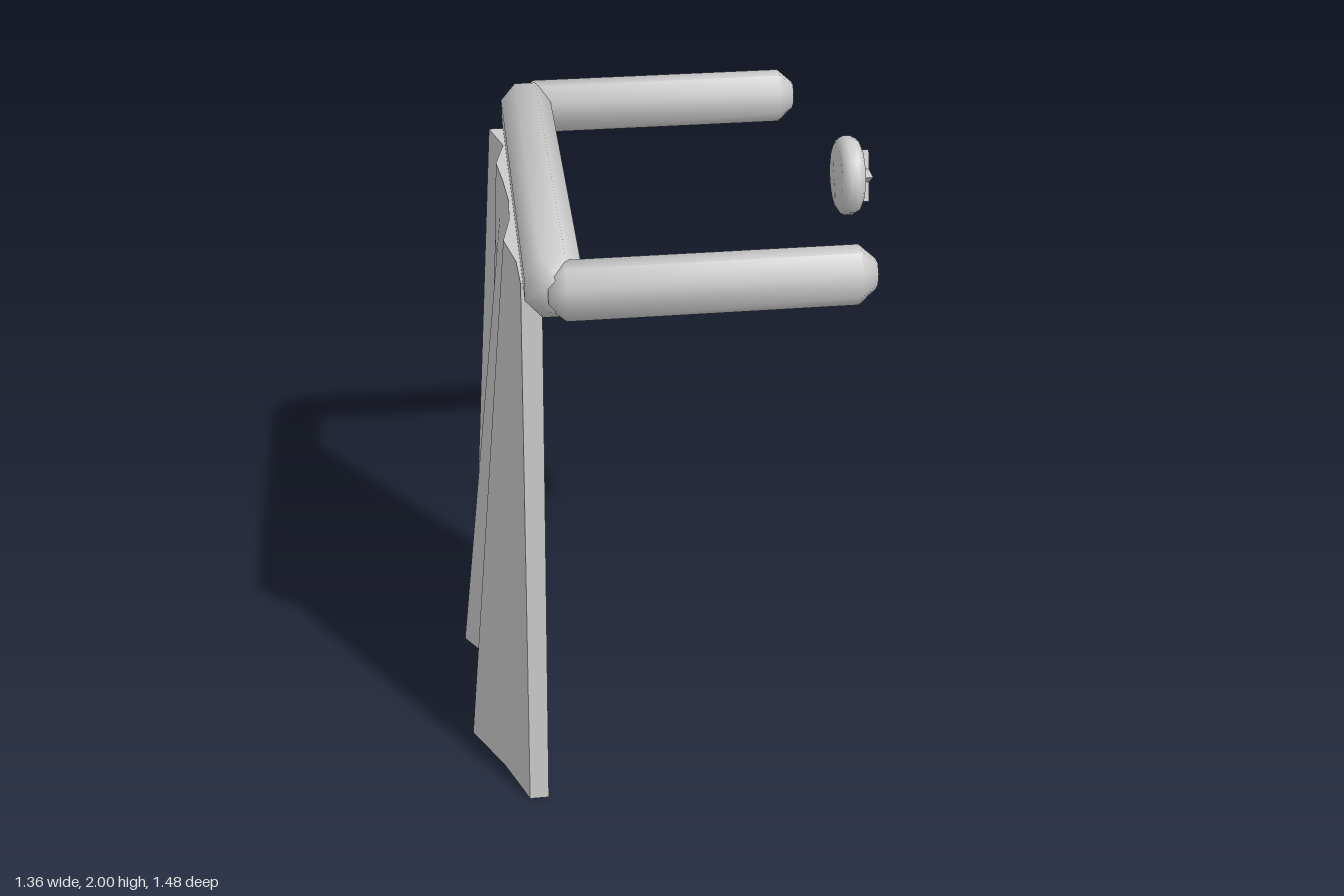
import * as THREE from 'three';
import { toCreasedNormals } from 'three/addons/utils/BufferGeometryUtils.js';

const material = new THREE.MeshStandardMaterial({ color: 0xcccccc });
const collarY = 1.877;

function makeMesh(name, geometry) {
  const mesh = new THREE.Mesh(geometry, material);
  mesh.name = name;
  return mesh;
}

function lathe(profile, sides) {
  const points = profile.map(([r, y]) => new THREE.Vector2(r, y));
  return new THREE.LatheGeometry(points, sides);
}

// Eight-sided bar along y with bevelled ends; width and height are across flats
function barGeometry(length, width, height, bevel) {
  const h = length / 2;
  const r = 0.5 / Math.cos(Math.PI / 8);
  const geometry = lathe([[0, -h], [r * 0.5, -h], [r, -h + bevel], [r, h - bevel], [r * 0.5, h], [0, h]], 8);
  geometry.rotateY(Math.PI / 8);
  geometry.scale(width, 1, height);
  return toCreasedNormals(geometry, 1.05);
}

// Pleated cloth: two skins of a ruled sheet closed around the rim
function cloakGeometry() {
  const topX = [-0.49, -0.45, -0.48, -0.465, -0.455, -0.46, -0.485, -0.455, -0.45];
  const hemX = [-0.62, -0.5, -0.58, -0.68, -0.56, -0.56, -0.67, -0.57, -0.495];
  const columns = topX.length - 1, rows = 14, topY = 1.85, thickness = 0.062;
  const positions = [], indices = [];
  const perSkin = (columns + 1) * (rows + 1);

  for (let skin = 0; skin < 2; skin++) {
    for (let j = 0; j <= rows; j++) {
      const t = j / rows;
      for (let i = 0; i <= columns; i++) {
        const x = THREE.MathUtils.lerp(hemX[i], topX[i], t) + skin * thickness;
        const halfWidth = THREE.MathUtils.lerp(0.7, 0.56, t);
        positions.push(x, topY * t, halfWidth * (2 * i / columns - 1));
      }
    }
  }

  const quad = (a, b, c, d) => indices.push(a, b, c, a, c, d);
  const at = (skin, i, j) => skin * perSkin + j * (columns + 1) + i;
  for (let j = 0; j < rows; j++) {
    for (let i = 0; i < columns; i++) {
      quad(at(0, i, j), at(0, i + 1, j), at(0, i + 1, j + 1), at(0, i, j + 1));
      quad(at(1, i + 1, j), at(1, i, j), at(1, i, j + 1), at(1, i + 1, j + 1));
    }
    // Side edges
    quad(at(1, 0, j), at(0, 0, j), at(0, 0, j + 1), at(1, 0, j + 1));
    quad(at(0, columns, j), at(1, columns, j), at(1, columns, j + 1), at(0, columns, j + 1));
  }
  // Hem and top edge
  for (let i = 0; i < columns; i++) {
    quad(at(0, i, 0), at(1, i, 0), at(1, i + 1, 0), at(0, i + 1, 0));
    quad(at(0, i, rows), at(0, i + 1, rows), at(1, i + 1, rows), at(1, i, rows));
  }

  const geometry = new THREE.BufferGeometry();
  geometry.setAttribute('position', new THREE.Float32BufferAttribute(positions, 3));
  geometry.setIndex(indices);
  return toCreasedNormals(geometry, 0.75);
}

function starGeometry(outer, inner, depth) {
  const shape = new THREE.Shape();
  for (let i = 0; i < 10; i++) {
    const r = i % 2 ? inner : outer;
    const a = Math.PI / 2 + i * Math.PI / 5;
    if (i === 0) shape.moveTo(r * Math.cos(a), r * Math.sin(a));
    else shape.lineTo(r * Math.cos(a), r * Math.sin(a));
  }
  shape.closePath();
  return new THREE.ExtrudeGeometry(shape, { depth, bevelEnabled: false }).rotateY(Math.PI / 2);
}

export function createModel() {
  const model = new THREE.Group();
  model.name = 'cloak';

  model.add(makeMesh('drape', cloakGeometry()));

  // Rolled collar: one bar across the back, one over each shoulder
  const back = makeMesh('backCollar', barGeometry(1.4, 0.166, 0.196, 0.06).rotateX(Math.PI / 2));
  back.position.set(-0.36, collarY, 0);
  model.add(back);
  for (const [name, side] of [['frontShoulderCollar', 1], ['rearShoulderCollar', -1]]) {
    const bar = makeMesh(name, barGeometry(0.94, 0.166, 0.14, 0.05).rotateZ(-Math.PI / 2));
    bar.position.set(0.09, collarY, side * 0.67);
    model.add(bar);
  }

  // Round clasp with a dished face and raised star
  const clasp = new THREE.Group();
  clasp.name = 'clasp';
  const rim = lathe([[0, 0], [0.1, 0], [0.118, 0.01], [0.125, 0.025], [0.125, 0.048],
    [0.115, 0.066], [0.1, 0.074], [0.085, 0.066], [0.07, 0.045], [0, 0.045]], 16);
  clasp.add(makeMesh('claspDisc', toCreasedNormals(rim.rotateZ(-Math.PI / 2), 0.9)));
  const star = makeMesh('claspStar', starGeometry(0.086, 0.035, 0.06));
  star.position.x = 0.04;
  clasp.add(star);
  clasp.position.set(0.58, 1.875, 0);
  model.add(clasp);

  return model;
}
